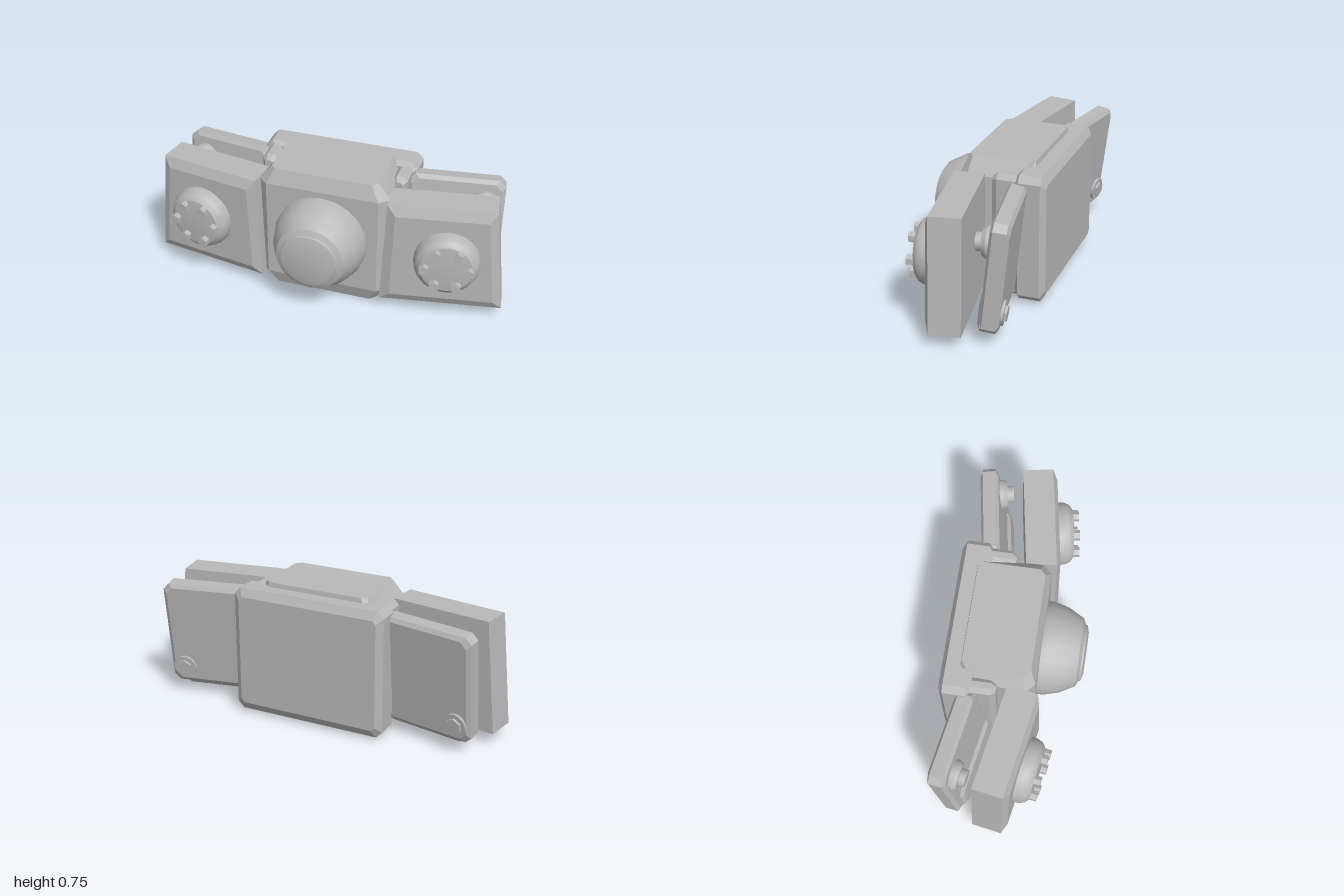
import * as THREE from 'three';
import { toCreasedNormals } from 'three/addons/utils/BufferGeometryUtils.js';

const metal = new THREE.MeshStandardMaterial({ color: 0xb8b8b8 });
metal.name = 'grey metal';
const YAW = 0.17;

// Skin a stack of equal-length convex rings [[x, y], ...] at increasing z, capped at both ends
function loft(sections) {
  const p = [];
  const rings = sections.map(([z, ring]) => ring.map(([x, y]) => [x, y, z]));
  const n = rings[0].length;
  const tri = (...v) => v.forEach((c) => p.push(...c));
  for (let k = 0; k < rings.length - 1; k++) {
    for (let i = 0; i < n; i++) {
      const j = (i + 1) % n, a = rings[k], b = rings[k + 1];
      tri(a[i], a[j], b[j]);
      tri(a[i], b[j], b[i]);
    }
  }
  const first = rings[0], last = rings[rings.length - 1];
  for (let i = 1; i < n - 1; i++) {
    tri(first[0], first[i + 1], first[i]);
    tri(last[0], last[i], last[i + 1]);
  }
  const g = new THREE.BufferGeometry();
  g.setAttribute('position', new THREE.Float32BufferAttribute(p, 3));
  return toCreasedNormals(g, 0.3);
}

// Rectangle with cut corners, counter-clockwise
function octagon(w, h, c) {
  const x = w / 2, y = h / 2;
  return [[x, -y + c], [x, y - c], [x - c, y], [-x + c, y],
    [-x, y - c], [-x, -y + c], [-x + c, -y], [x - c, -y]];
}

// Chamfered slab centred on the origin
function slab(w, h, d, c, b) {
  const small = octagon(w - 2 * b, h - 2 * b, c), full = octagon(w, h, c);
  return loft([[-d / 2, small], [-d / 2 + b * 0.7, full], [d / 2 - b * 0.7, full], [d / 2, small]]);
}

// Turned part with its axis along z, from [radius, z] points
function turned(profile, sides, crease = 0.5) {
  const g = new THREE.LatheGeometry(profile.map(([r, z]) => new THREE.Vector2(r, z)), sides);
  g.rotateX(Math.PI / 2);
  // the turn flips y to z; lathe winding stays outward for profiles rising in z
  return toCreasedNormals(g, crease);
}

const disc = (r, z0, z1, sides) => turned([[0, z0], [r, z0], [r, z1], [0, z1]], sides);

function add(parent, name, geometry, x = 0, y = 0, z = 0) {
  const m = new THREE.Mesh(geometry, metal);
  m.name = name;
  m.position.set(x, y, z);
  parent.add(m);
  return m;
}

// Half outline of the central body seen from above, mirrored to a full ring
function bodyRing(half) {
  const right = half.map(([x, z]) => [x, -z]);
  return [...right, ...right.map(([x, y]) => [-x, y]).reverse()];
}

function side(s) {
  const g = new THREE.Group();
  g.name = s > 0 ? 'leftSide' : 'rightSide';

  // Front block: trapezium with a bevelled face, turned outward
  const pod = new THREE.Group();
  pod.name = 'frontPod';
  pod.position.set(0.68 * s, 0, 0);
  pod.rotation.y = YAW * s;
  g.add(pod);
  const quad = (pts) => (s > 0 ? pts : pts.map(([x, y]) => [-x, y]).reverse());
  const rim = quad([[-0.36, 0.07], [0.31, 0.07], [0.25, 0.685], [-0.33, 0.685]]);
  const face = quad([[-0.305, 0.118], [0.26, 0.118], [0.21, 0.627], [-0.285, 0.627]]);
  add(pod, 'podBlock', loft([[-0.072, rim], [0.095, rim], [0.118, face]]));

  // Round cap with a ring of hexagonal bolts
  add(pod, 'cap', turned([[0, 0.09], [0.165, 0.1], [0.18, 0.12], [0.178, 0.155],
    [0.165, 0.185], [0.14, 0.205], [0.128, 0.207], [0, 0.207]], 24), 0, 0.378, 0);
  for (let i = 0; i < 6; i++) {
    const a = (i * Math.PI) / 3;
    add(pod, 'capBolt', disc(0.029, 0.19, 0.24, 6), 0.118 * Math.cos(a), 0.378 + 0.113 * Math.sin(a), 0);
  }

  // Rear wing, leaning back at the top
  const wing = new THREE.Group();
  wing.name = 'rearWing';
  wing.position.set(0.655 * s, 0.378, -0.23);
  wing.rotation.set(-0.115, YAW * s, 0);
  g.add(wing);
  add(wing, 'wingPlate', slab(0.53, 0.61, 0.1, 0.035, 0.022));
  add(wing, 'lowerPanel', slab(0.48, 0.22, 0.085, 0.03, 0.02), -0.03 * s, -0.225, 0.025);
  add(wing, 'rearWasher', disc(0.066, -0.064, -0.03, 16), 0.18 * s, -0.205, 0);
  add(wing, 'rearBolt', disc(0.045, -0.078, -0.05, 6), 0.18 * s, -0.205, 0);

  // Spacer between wing and front block
  const spacer = new THREE.Group();
  spacer.name = 'spacer';
  spacer.position.set(0.825 * s, 0.54, -0.2);
  spacer.rotation.y = YAW * s;
  g.add(spacer);
  add(spacer, 'spacerDisc', turned([[0, -0.06], [0.083, -0.06], [0.083, -0.012], [0.07, 0.01], [0, 0.01]], 20));
  add(spacer, 'spacerPin', disc(0.047, 0, 0.045, 16));

  // Bracket joining the body to the back plate
  const inner = octagon(0.045, 0.63, 0.012), outer = octagon(0.085, 0.68, 0.025);
  add(g, 'bracket', loft([[-0.25, outer], [-0.1, outer], [-0.07, inner]]), 0.372 * s, 0.373, 0);
  return g;
}

export function createModel() {
  const model = new THREE.Group();
  model.name = 'bracketUnit';

  // Central body, stacked upward with a bevelled top and bottom
  const end = bodyRing([[0.27, 0.1], [0.3, 0.07], [0.3, -0.24], [0.27, -0.265]].reverse());
  const mid = bodyRing([[0.315, 0.13], [0.37, 0.08], [0.34, -0.23], [0.315, -0.28]].reverse());
  const ccw = (r) => r.slice().reverse();
  const body = loft([[0, ccw(end)], [0.085, ccw(mid)], [0.67, ccw(mid)], [0.755, ccw(end)]]);
  body.rotateX(-Math.PI / 2);
  add(model, 'body', body);

  // Rounded nose with a small raised disc
  add(model, 'nose', turned([[0, 0.125], [0.26, 0.125], [0.26, 0.165], [0.237, 0.25], [0.19, 0.335],
    [0.158, 0.35], [0.155, 0.36], [0.115, 0.371], [0, 0.371]], 20), 0, 0.378, 0);

  // Back plate
  const wide = octagon(0.88, 0.71, 0.035);
  add(model, 'backPlate', loft([[-0.37, octagon(0.81, 0.62, 0.02)], [-0.345, wide],
    [-0.225, wide], [-0.2, octagon(0.82, 0.67, 0.03)]]), 0, 0.375, 0);

  model.add(side(1), side(-1));
  return model;
}
